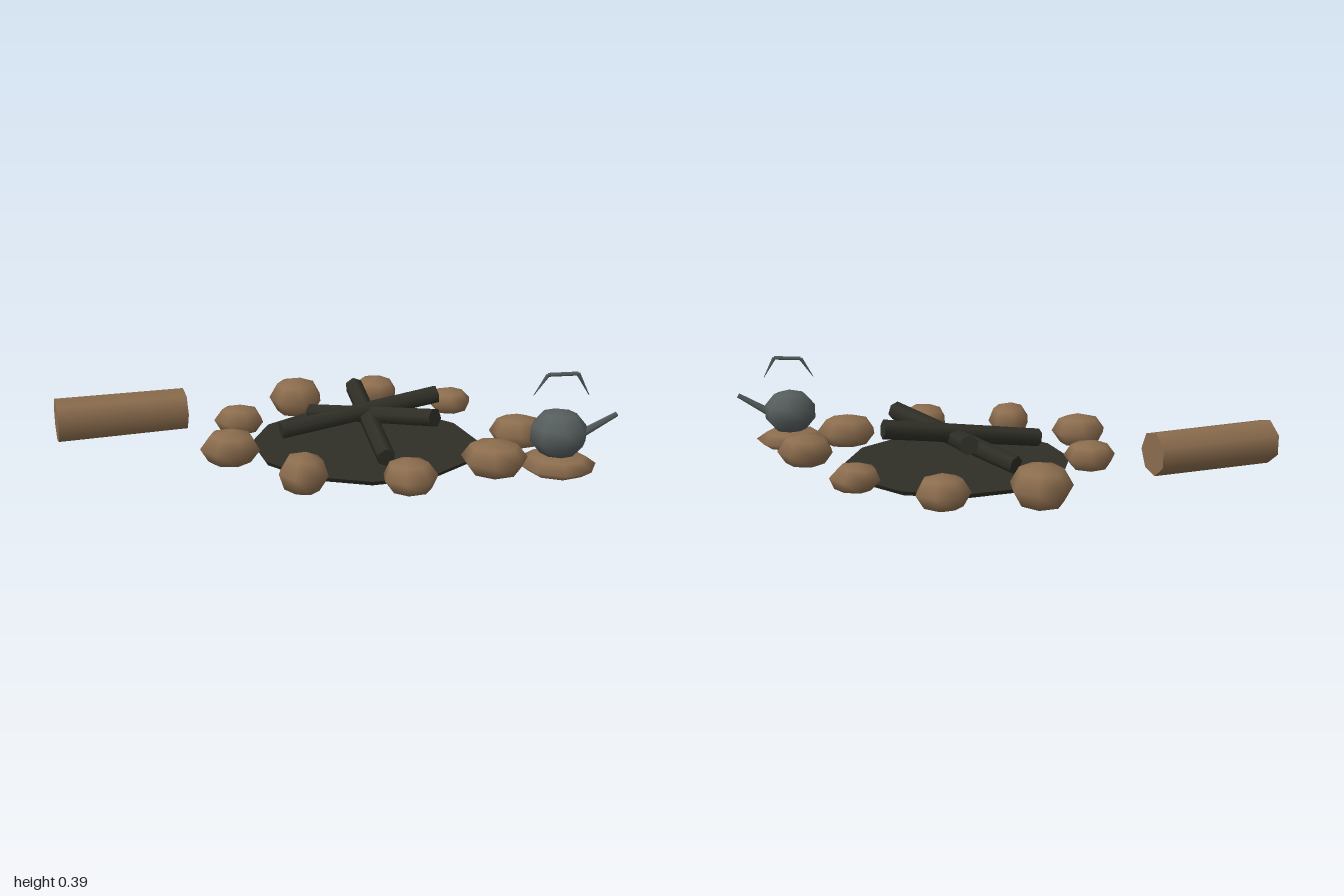
import * as THREE from 'three';

const mat = (name, color) => {
  const m = new THREE.MeshStandardMaterial({ color });
  m.name = name;
  return m;
};

export function createModel() {
  const root = new THREE.Group();
  root.name = 'campfire';
  const brown = mat('earthBrown', 0x8c6d4e);
  const char = mat('charBlack', 0x2f2f27);
  const iron = mat('ironGrey', 0x565d5d);

  const add = (name, geo, material, parent = root) => {
    const m = new THREE.Mesh(geo, material);
    m.name = name;
    parent.add(m);
    return m;
  };

  // Tapered rod between two points
  const rod = (name, a, b, r0, r1, sides, material, parent) => {
    const p = new THREE.Vector3(...a), q = new THREE.Vector3(...b);
    const dir = q.clone().sub(p);
    const m = add(name, new THREE.CylinderGeometry(r1, r0, dir.length(), sides), material, parent);
    m.position.copy(p).add(q).multiplyScalar(0.5);
    m.quaternion.setFromUnitVectors(new THREE.Vector3(0, 1, 0), dir.normalize());
    return m;
  };

  // Ash bed
  add('ashBed', new THREE.CylinderGeometry(0.415, 0.405, 0.016, 12), char).position.set(0.155, 0.038, 0.01);

  // Charred logs crossing over the middle, each with one raised end
  [
    [[0.21, 0.085, 0.30], [0.13, 0.178, -0.27]],
    [[-0.15, 0.11, 0.07], [0.425, 0.195, -0.09]],
    [[-0.035, 0.09, -0.22], [0.385, 0.195, 0.2]],
  ].forEach(([a, b], i) => rod('charredLog' + (i + 1), a, b, 0.033, 0.035, 6, char));

  // Ring of stones: x, y, z, then radii
  [
    [-0.095, 0.083, -0.445, 0.105, 0.08, 0.125],
    [0.23, 0.09, -0.51, 0.09, 0.062, 0.095],
    [0.515, 0.095, -0.34, 0.085, 0.052, 0.085],
    [0.71, 0.09, 0.04, 0.1, 0.065, 0.093],
    [0.575, 0.088, 0.32, 0.112, 0.066, 0.11],
    [0.27, 0.09, 0.49, 0.09, 0.06, 0.102],
    [-0.075, 0.088, 0.45, 0.082, 0.072, 0.097],
    [-0.325, 0.097, 0.215, 0.103, 0.067, 0.095],
    [-0.31, 0.09, -0.125, 0.092, 0.058, 0.085],
  ].forEach(([x, y, z, rx, ry, rz], i) => {
    const geo = new THREE.SphereGeometry(1, 7, 4);
    geo.rotateZ(0.15 * Math.sin(i * 2.3));
    geo.rotateY(i * 1.7);
    geo.scale(rx * 1.03, ry, rz * 1.03);
    add('stone' + (i + 1), geo, brown).position.set(x, y, z);
  });

  // Flat stone under the kettle
  const flat = new THREE.SphereGeometry(1, 8, 4);
  flat.scale(0.134, 0.038, 0.134);
  add('flatStone', flat, brown).position.set(0.79, 0.066, 0.315);

  // Seat log
  const seat = add('seatLog', new THREE.CylinderGeometry(0.08, 0.083, 0.48, 7).rotateZ(-Math.PI / 2), brown);
  seat.position.set(-0.752, 0.112, -0.127);
  seat.rotation.y = 0.3;

  // Kettle: body, spout and arched handle
  const kettle = new THREE.Group();
  kettle.name = 'kettle';
  root.add(kettle);
  const body = new THREE.SphereGeometry(1, 8, 5);
  body.scale(0.1, 0.086, 0.1);
  add('kettleBody', body, iron, kettle).position.set(0.79, 0.173, 0.312);
  rod('spout', [0.86, 0.165, 0.312], [0.985, 0.24, 0.312], 0.016, 0.009, 4, iron, kettle);
  const arch = [[0.697, 0.308], [0.742, 0.379], [0.842, 0.383], [0.884, 0.308]];
  const thick = [0.001, 0.007, 0.007, 0.001];
  for (let i = 0; i < 3; i++) {
    rod('handle' + (i + 1), [...arch[i], 0.317], [...arch[i + 1], 0.317], thick[i], thick[i + 1], 4, iron, kettle);
  }
  return root;
}
